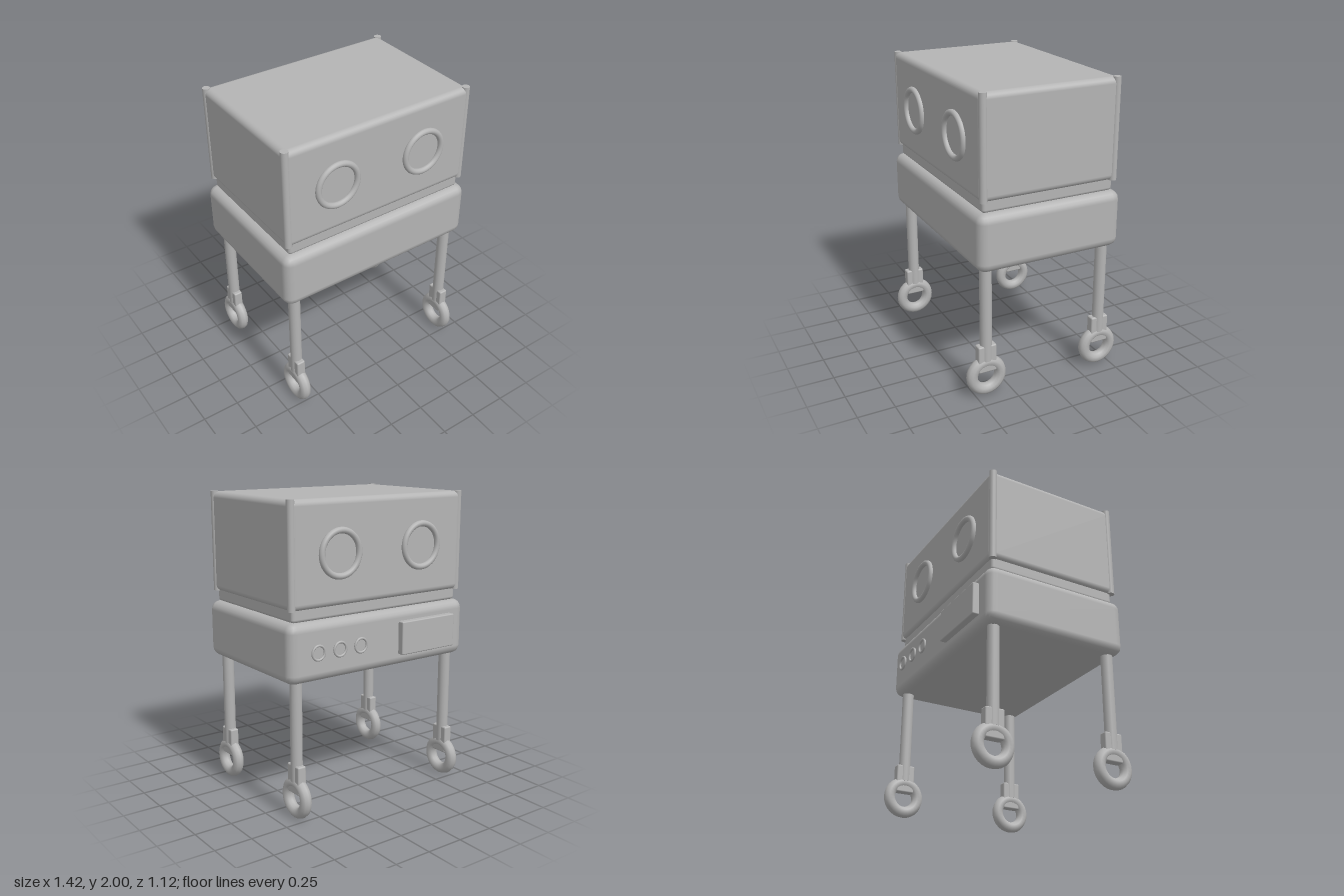
import * as THREE from 'three';
import { RoundedBoxGeometry } from 'three/addons/geometries/RoundedBoxGeometry.js';

export function createModel() {
  const model = new THREE.Group();
  model.name = 'incubatorCart';
  const grey = new THREE.MeshStandardMaterial({ color: 0xb4b4b4 });
  grey.name = 'grey';

  const add = (name, geometry, x, y, z, parent = model) => {
    const mesh = new THREE.Mesh(geometry, grey);
    mesh.name = name;
    mesh.position.set(x, y, z);
    parent.add(mesh);
    return mesh;
  };

  // Cabinet, tray and hood
  add('cabinet', new RoundedBoxGeometry(1.42, 0.38, 1.0, 2, 0.06), 0, 1.08, 0);
  add('tray', new RoundedBoxGeometry(1.32, 0.11, 0.91, 2, 0.02), 0, 1.322, 0);
  add('hood', new RoundedBoxGeometry(1.36, 0.66, 0.95, 3, 0.04), 0, 1.668, 0);

  // Hood posts and caster legs at the four corners
  const post = new THREE.CylinderGeometry(0.025, 0.025, 0.66, 16);
  const leg = new THREE.CylinderGeometry(0.039, 0.039, 0.67, 16);
  const fork = new RoundedBoxGeometry(0.06, 0.19, 0.127, 2, 0.01);
  const wheel = new THREE.TorusGeometry(0.1, 0.038, 10, 28).rotateY(Math.PI / 2);
  for (const sx of [-1, 1]) {
    for (const sz of [-1, 1]) {
      add('hoodPost', post, sx * 0.663, 1.67, sz * 0.452);
      const caster = new THREE.Group();
      caster.name = (sz > 0 ? 'front' : 'back') + (sx > 0 ? 'Left' : 'Right') + 'Leg';
      caster.position.set(sx * 0.618, 0, sz * 0.42);
      model.add(caster);
      add('legTube', leg, 0, 0.585, 0, caster);
      add('fork', fork, 0, 0.265, 0, caster);
      add('wheel', wheel, 0, 0.138, 0, caster);
    }
  }

  // Porthole rings on the front and back of the hood
  const porthole = new THREE.TorusGeometry(0.14, 0.02, 12, 40);
  for (const x of [-0.322, 0.322]) {
    for (const z of [-0.482, 0.482]) add('portholeRing', porthole, x, 1.665, z);
  }

  // Control panel and dial rings on the back of the cabinet
  add('controlPanel', new RoundedBoxGeometry(0.45, 0.22, 0.06, 2, 0.008), -0.355, 1.08, -0.513);
  const dial = new THREE.TorusGeometry(0.045, 0.008, 8, 24);
  for (const x of [0.192, 0.353, 0.515]) add('dialRing', dial, x, 1.082, -0.52);

  return model;
}
